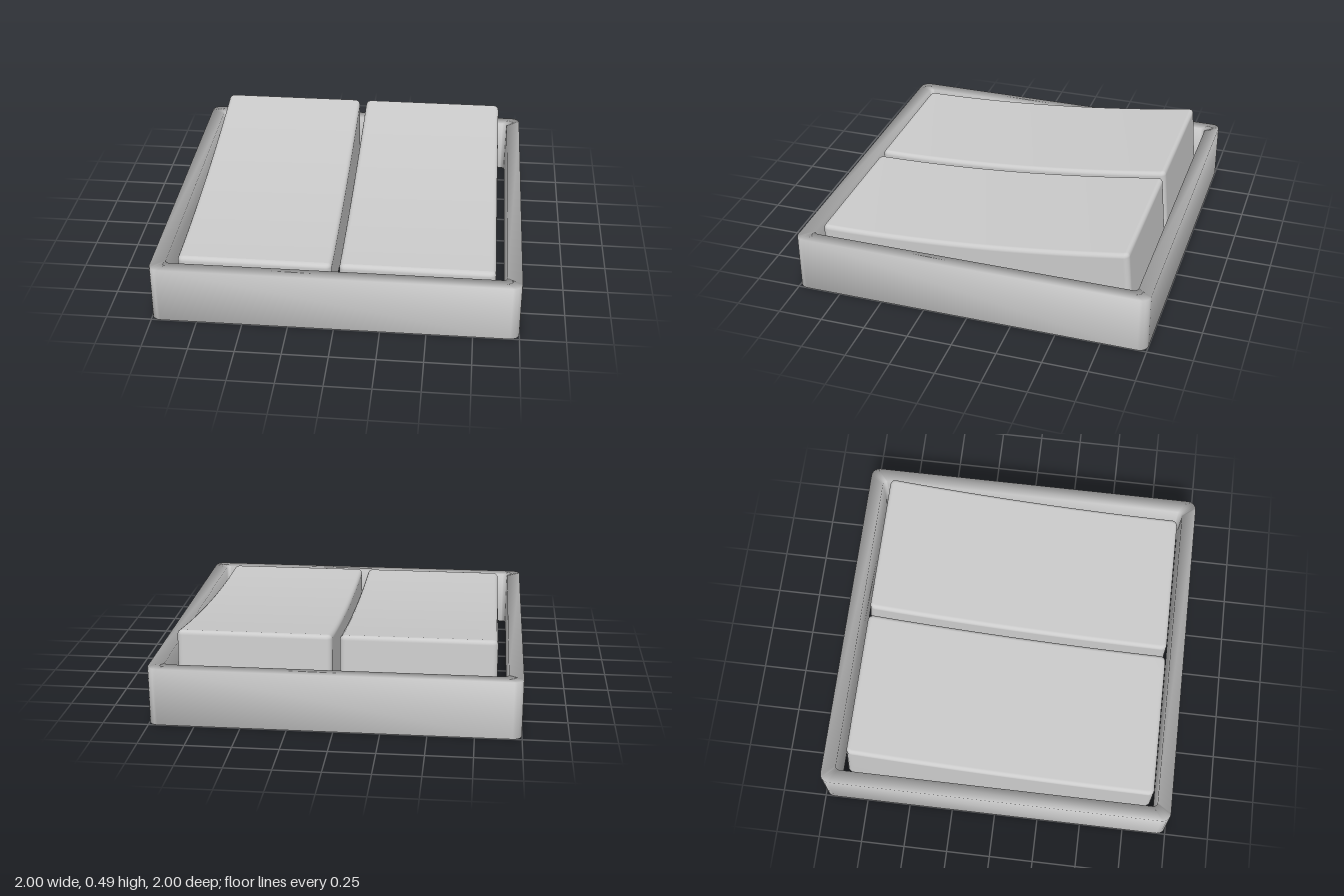
import * as THREE from 'three';
import { mergeVertices } from 'three/addons/utils/BufferGeometryUtils.js';

const material = new THREE.MeshStandardMaterial({ color: 0xcccccc, side: THREE.DoubleSide });

// Rounded rectangle as [x, z] points, with extra points along the z sides
function roundedRect(x0, x1, z0, z1, r, sideSteps = 1, cornerSteps = 5) {
  const centres = [[x1 - r, z0 + r], [x0 + r, z0 + r], [x0 + r, z1 - r], [x1 - r, z1 - r]];
  const points = [];
  centres.forEach(([cx, cz], k) => {
    for (let i = 0; i <= cornerSteps; i++) {
      const a = (k + i / cornerSteps) * Math.PI / 2;
      points.push([cx + r * Math.cos(a), cz - r * Math.sin(a)]);
    }
    if (k % 2 === 0) return;
    const nextZ = centres[(k + 1) % 4][1];
    for (let i = 1; i < sideSteps; i++) {
      points.push([k === 1 ? x0 : x1, cz + (nextZ - cz) * i / sideSteps]);
    }
  });
  return points;
}

// Skin a list of closed rings of [x, y, z] points
function loft(rings) {
  const n = rings[0].length;
  const index = [];
  for (let j = 0; j < rings.length - 1; j++) {
    for (let i = 0; i < n; i++) {
      const a = j * n + i, b = j * n + (i + 1) % n;
      index.push(a, b, a + n, b, b + n, a + n);
    }
  }
  const geometry = new THREE.BufferGeometry();
  geometry.setAttribute('position', new THREE.Float32BufferAttribute(rings.flat(2), 3));
  geometry.setIndex(index);
  const welded = mergeVertices(geometry, 1e-5);
  welded.computeVertexNormals();
  return welded;
}

// Square frame, open above and below
function frameGeometry() {
  const ring = (half, r, y) => roundedRect(-half, half, -half, half, r).map(([x, z]) => [x, y, z]);
  const height = 0.32;
  return loft([
    ring(1, 0.05, 0), ring(1, 0.05, height),
    ring(0.92, 0.025, height), ring(0.92, 0.025, 0), ring(1, 0.05, 0),
  ]);
}

// Hollow rocker: curved top rising to the back, rounded edges, open underside
function rockerGeometry() {
  const x0 = 0.02, x1 = 0.86, front = 0.895, bottom = 0.07, bevel = 0.025, steps = 14;
  const topAt = z => 0.34 + 0.15 * Math.pow(Math.min(1, Math.max(0, (0.89 - z) / 1.73)), 1.9);
  const outline = (back, inset) =>
    roundedRect(x0 + inset, x1 - inset, back + inset, front - inset, 0.032 - inset, steps);

  const rings = [outline(-0.885, 0).map(([x, z]) => [x, bottom, z])];
  for (let i = 0; i <= 4; i++) {
    const a = i / 4 * Math.PI / 2;
    const inset = bevel * (1 - Math.cos(a)), drop = bevel * (1 - Math.sin(a));
    rings.push(outline(-0.852, inset).map(([x, z]) => [x, topAt(z) - drop, z]));
  }
  // Close the top along its centre line
  rings.push(rings[5].map(([, y, z]) => [(x0 + x1) / 2, y, z]));
  return loft(rings);
}

export function createModel() {
  const group = new THREE.Group();
  group.name = 'doubleRockerSwitch';
  const add = (name, geometry) => {
    const mesh = new THREE.Mesh(geometry, material);
    mesh.name = name;
    group.add(mesh);
    return mesh;
  };

  add('frame', frameGeometry());
  const rocker = rockerGeometry();
  add('leftRocker', rocker);
  add('rightRocker', rocker.clone().translate(-0.88, 0, 0));
  return group;
}
